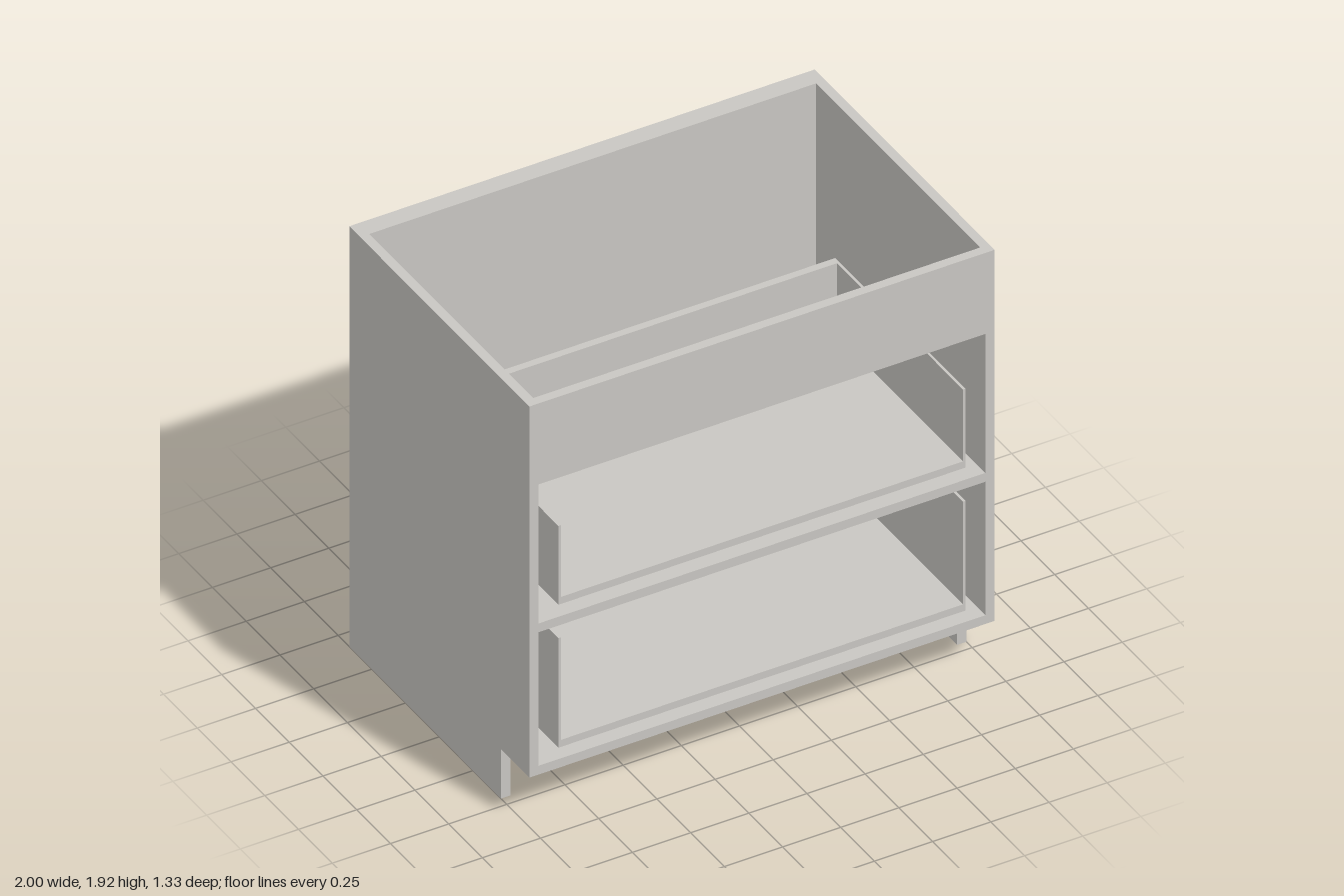
import * as THREE from 'three';

const board = new THREE.MeshStandardMaterial({ color: 0xc8c6c2 });
board.name = 'pale grey board';

// Box given by its minimum and maximum corners
function panel(name, [x0, y0, z0], [x1, y1, z1]) {
  const geo = new THREE.BoxGeometry(x1 - x0, y1 - y0, z1 - z0);
  geo.translate((x0 + x1) / 2, (y0 + y1) / 2, (z0 + z1) / 2);
  const mesh = new THREE.Mesh(geo, board);
  mesh.name = name;
  return mesh;
}

const H = 1.92, F = 0.667, B = -0.667, T = 0.04, IN = 0.96, BASE = 0.225;

// Side board with a toe-kick notch at the lower front
function sidePanel(name, x) {
  const shape = new THREE.Shape([
    [B, 0], [0.457, 0], [0.457, BASE], [F, BASE], [F, H], [B, H],
  ].map(([z, y]) => new THREE.Vector2(-z, y)));
  const geo = new THREE.ExtrudeGeometry(shape, { depth: T, bevelEnabled: false });
  geo.rotateY(Math.PI / 2);
  geo.translate(x, 0, 0);
  const mesh = new THREE.Mesh(geo, board);
  mesh.name = name;
  return mesh;
}

// Open-fronted drawer tray: floor, two thin sides, back
function drawer(name, y0, y1, back) {
  const g = new THREE.Group();
  g.name = name;
  const out = 0.875, inn = 0.864, t = 0.032;
  g.add(
    panel('drawerFloor', [-inn, y0, back + t], [inn, y0 + t, F]),
    panel('drawerBack', [-inn, y0, back], [inn, y1, back + t]),
    panel('drawerRightSide', [-out, y0, back], [-inn, y1, F]),
    panel('drawerLeftSide', [inn, y0, back], [out, y1, F]),
  );
  return g;
}

export function createModel() {
  const cabinet = new THREE.Group();
  cabinet.name = 'drawerCabinet';
  cabinet.add(
    sidePanel('leftSide', IN),
    sidePanel('rightSide', -1),
    panel('bottom', [-IN, BASE, B + T], [IN, BASE + T, F]),
    // Front: tall upper fascia, stretcher behind it, rail between drawers
    panel('frontFascia', [-IN, 1.55, F - T], [IN, H, F]),
    panel('upperStretcher', [-IN, 1.55, 0.445], [IN, 1.59, F - T]),
    panel('middleRail', [-IN, 0.875, 0.445], [IN, 0.915, F]),
    // Back: recessed panel held by an upper and a lower rail
    panel('backPanel', [-IN, BASE + T, B + T], [IN, H, B + 2 * T]),
    panel('backUpperRail', [-IN, 1.785, B], [IN, H, B + T]),
    panel('backLowerRail', [-IN, BASE, B], [IN, 0.39, B + T]),
    drawer('upperDrawer', 0.97, 1.33, -0.3),
    drawer('lowerDrawer', 0.317, 0.818, -0.52),
  );
  return cabinet;
}
